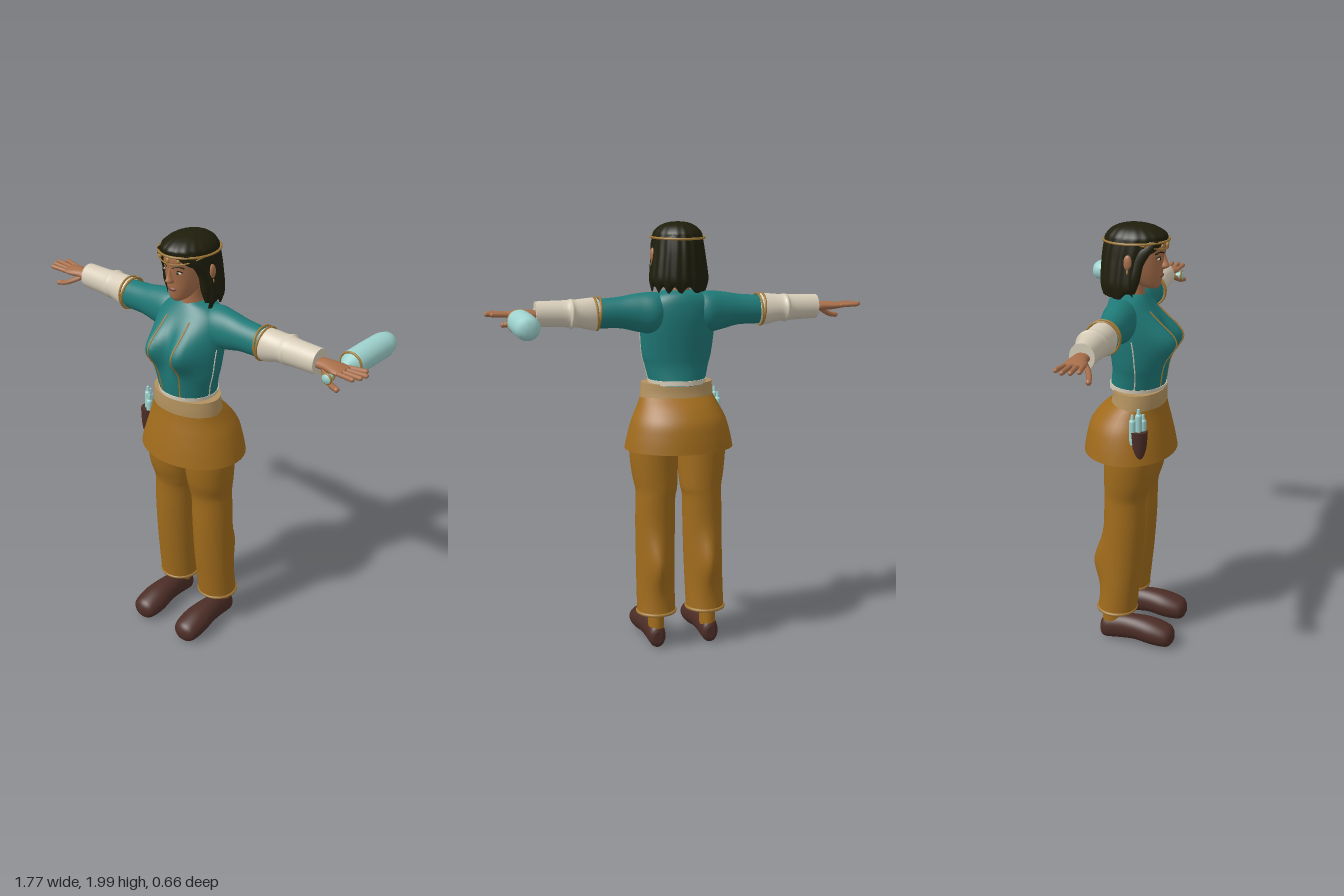
import * as THREE from 'three';

const mat = (name, color, side = THREE.FrontSide) => {
  const m = new THREE.MeshStandardMaterial({ color, side });
  m.name = name;
  return m;
};
const V = (x, y, z) => new THREE.Vector3(x, y, z);

// Smooth skin through elliptical rows [y, x0, x1, z0, z1, openHalfAngle]
function loft(rows, { n = 40, sub = 5, caps = true, open = false, wave = 0 } = {}) {
  const cr = (a, b, c, d, t) => 0.5 * (2 * b + (c - a) * t + (2 * a - 5 * b + 4 * c - d) * t * t + (3 * b - a - 3 * c + d) * t ** 3);
  const fine = [];
  rows.forEach((r, i) => {
    if (i === rows.length - 1) return fine.push(r);
    const a = rows[Math.max(i - 1, 0)], c = rows[i + 1], d = rows[Math.min(i + 2, rows.length - 1)];
    for (let k = 0; k < sub; k++) fine.push(r.map((v, q) => cr(a[q], v, c[q], d[q], k / sub)));
  });
  const pos = [], idx = [], cols = open ? n + 1 : n;
  const point = (r, j) => {
    const o = open ? r[5] : 0, a = o + (j / n) * (Math.PI * 2 - 2 * o), w = 1 + wave * Math.cos(a * 18);
    return [(r[1] + r[2]) / 2 + (r[2] - r[1]) / 2 * Math.sin(a) * w, r[0], (r[3] + r[4]) / 2 + (r[4] - r[3]) / 2 * Math.cos(a) * w];
  };
  fine.forEach((r, i) => {
    for (let j = 0; j < cols; j++) pos.push(...point(r, j));
    if (i) for (let j = 0; j < n; j++) {
      const k = (j + 1) % cols, p = (i - 1) * cols, q = i * cols;
      idx.push(p + j, p + k, q + j, p + k, q + k, q + j);
    }
  });
  if (caps && !open) [fine[0], fine[fine.length - 1]].forEach((r, top) => {
    const c = pos.length / 3;
    pos.push((r[1] + r[2]) / 2, r[0], (r[3] + r[4]) / 2);
    for (let j = 0; j < n; j++) pos.push(...point(r, j));
    for (let j = 0; j < n; j++) {
      const a = c + 1 + j, b = c + 1 + (j + 1) % n;
      idx.push(c, ...(top ? [a, b] : [b, a]));
    }
  });
  const g = new THREE.BufferGeometry();
  g.setAttribute('position', new THREE.Float32BufferAttribute(pos, 3));
  g.setIndex(idx);
  g.computeVertexNormals();
  g.userData = { cols, count: fine.length };
  return g;
}
// Loft along x from rows [x, yLow, yHigh, z0, z1]
const loftX = (rows, o) => loft(rows.map(([x, a, b, c, d]) => [x, -b, -a, c, d]), o).rotateZ(-Math.PI / 2);
// Loft along z from rows [z, x0, x1, yLow, yHigh]
const loftZ = (rows, o) => loft(rows.map(([z, a, b, c, d]) => [z, a, b, -d, -c]), o).rotateX(Math.PI / 2);

function deform(g, fn) {
  const p = g.attributes.position, v = V(0, 0, 0);
  for (let i = 0; i < p.count; i++) { fn(v.fromBufferAttribute(p, i)); p.setXYZ(i, v.x, v.y, v.z); }
  g.computeVertexNormals();
  return g;
}
const tube = (pts, r, closed = false, seg = 40) => new THREE.TubeGeometry(new THREE.CatmullRomCurve3(pts, closed), seg, r, 6, closed);
const ball = (x, y, z, sx, sy, sz) => new THREE.SphereGeometry(1, 20, 14).scale(sx, sy, sz).translate(x, y, z);
// Path down one column of a loft
function seam(g, j, y0, y1) {
  const { cols, count } = g.userData, out = [];
  for (let i = 0; i < count; i++) {
    const v = V(0, 0, 0).fromBufferAttribute(g.attributes.position, i * cols + (j + cols) % cols);
    if (v.y >= y0 && v.y <= y1) out.push(v);
  }
  return out;
}
function mirrored(g) {
  const m = g.clone().scale(-1, 1, 1), a = m.index.array;
  for (let i = 0; i < a.length; i += 3) [a[i], a[i + 1]] = [a[i + 1], a[i]];
  return m;
}

export function createModel() {
  const root = new THREE.Group(), D = THREE.DoubleSide;
  const teal = mat('teal cloth', 0x1f7a78), ochre = mat('ochre cloth', 0xa06b1c, D), skin = mat('skin', 0xa86f4b),
    hair = mat('dark hair', 0x1f1e0c, D), cream = mat('cream linen', 0xd6ccb8, D), beige = mat('beige sash', 0xb3925f),
    brown = mat('brown leather', 0x4c2d26), glass = mat('pale blue glass', 0x9ed2ce), gold = mat('gold trim', 0xa27a38),
    lip = mat('lip red', 0x80453a);
  const add = (name, g, m) => {
    const mesh = new THREE.Mesh(g, m);
    mesh.name = name;
    root.add(mesh);
  };
  const pair = (name, g, m) => { add('left' + name, g, m); add('right' + name, mirrored(g), m); };

  // Tunic with a shaped bust, seams and shirt hem
  const torso = deform(loft([
    [1.26, -.13, .13, -.02, .225], [1.34, -.148, .148, -.01, .235], [1.4, -.163, .163, -.014, .235], [1.5, -.172, .172, -.028, .22],
    [1.58, -.172, .172, -.035, .2], [1.64, -.16, .16, -.03, .165], [1.677, -.115, .115, -.015, .14], [1.695, -.06, .06, .01, .125]
  ], { n: 48 }), v => {
    if (v.z > .1) v.z += .085 * Math.exp(-(((Math.abs(v.x) - .078) / .06) ** 2) - ((v.y - 1.5) / .08) ** 2);
  });
  add('tunic', torso, teal);
  for (const s of [1, -1]) {
    add('frontTrim', tube(seam(torso, 3 * s, 1.28, 1.63), .004), gold);
    add('sideSeam', tube(seam(torso, 11 * s, 1.28, 1.53), .003), cream);
  }
  add('shirtHem', loft([[1.262, -.136, .136, -.024, .231], [1.284, -.138, .138, -.022, .232]]), cream);

  // Sash and flared skirt
  add('sash', loft([[1.198, -.175, .175, -.012, .234], [1.23, -.172, .172, -.006, .234], [1.268, -.168, .168, -.004, .232]]), beige);
  add('skirt', loft([[.965, -.257, .257, -.137, .284], [1.03, -.243, .243, -.127, .272], [1.1, -.222, .222, -.108, .256],
    [1.16, -.193, .193, -.063, .241], [1.205, -.172, .172, -.012, .231]], { caps: false }), ochre);

  // Trousers with calf bulge, hems, ankles and shoes
  pair('TrouserLeg', deform(loft([
    [.17, .03, .212, -.05, .135], [.3, .028, .211, -.03, .148], [.43, .025, .21, -.02, .16], [.6, .022, .21, -.02, .17],
    [.72, .02, .207, -.02, .172], [.77, .01, .208, -.02, .178], [.85, .004, .222, -.02, .2], [.98, 0, .23, -.02, .212], [1.08, 0, .2, -.02, .2]
  ]), v => { if (v.z < .06) v.z -= .05 * Math.exp(-(((v.x - .125) / .05) ** 2) - ((v.y - .42) / .11) ** 2); }), ochre);
  pair('TrouserHem', new THREE.TorusGeometry(.09, .008, 8, 40).rotateX(Math.PI / 2).translate(.121, .176, .042), gold);
  pair('Ankle', loft([[.08, .09, .165, -.03, .07], [.19, .09, .165, -.025, .07]]), ochre);
  pair('Shoe', loftZ([[-.035, .11, .15, .03, .09], [-.015, .09, .17, .008, .118], [.06, .084, .178, .014, .138], [.14, .074, .19, .02, .143],
    [.22, .063, .2, .008, .135], [.29, .07, .195, .006, .113], [.315, .09, .175, .02, .095], [.326, .12, .145, .045, .07]]), brown);

  // Arms: tunic sleeve, armlets and linen cuff
  pair('Sleeve', loftX([[.05, 1.54, 1.67, .01, .11], [.12, 1.5, 1.688, -.025, .135], [.2, 1.51, 1.683, -.012, .13],
    [.28, 1.528, 1.67, -.002, .124], [.385, 1.53, 1.662, 0, .12]]), teal);
  [[.38, .1], [.392, -.07]].forEach(([x, tilt]) =>
    pair('Armlet', new THREE.TorusGeometry(.073, .005, 8, 40).rotateY(Math.PI / 2).rotateZ(tilt).translate(x, 1.597, .056), gold));
  pair('ForearmSleeve', loftX([[.375, 1.535, 1.66, 0, .115], [.4, 1.522, 1.67, -.005, .12], [.48, 1.54, 1.664, -.012, .112],
    [.505, 1.535, 1.667, -.025, .113], [.53, 1.542, 1.662, -.005, .108], [.662, 1.547, 1.66, 0, .106]]), cream);

  // Hands
  pair('Palm', loftX([[.64, 1.575, 1.62, .02, .085], [.7, 1.582, 1.625, .018, .09], [.75, 1.586, 1.622, .01, .103], [.79, 1.592, 1.616, .012, .104]], { n: 24 }), skin);
  [[.86, .01], [.882, .042], [.876, .075], [.858, .105]].forEach(([tip, z], i) => {
    const a = V(.775, 1.605, .022 + i * .024), b = V(tip, 1.61, z), dir = b.clone().sub(a);
    const g = new THREE.CapsuleGeometry(.01, dir.length() - .01, 4, 10);
    g.applyQuaternion(new THREE.Quaternion().setFromUnitVectors(V(0, 1, 0), dir.normalize()));
    pair('Finger', g.translate((a.x + b.x) / 2, (a.y + b.y) / 2, (a.z + b.z) / 2), skin);
  });
  pair('Thumb', tube([V(.69, 1.595, .07), V(.73, 1.572, .1), V(.765, 1.557, .115), V(.795, 1.552, .122)], .012, false, 12), skin);
  pair('ThumbTip', ball(.795, 1.552, .122, .012, .012, .012), skin);

  // Bottle held in the left hand
  const flask = [[0, -.128], [.02, -.128], [.02, -.115], [.012, -.1], [.012, -.02], [.02, 0], [.047, .042], [.055, .06],
    [.056, .16], [.055, .27], [.045, .312], [.03, .33], [0, .33]].map(p => new THREE.Vector2(...p));
  add('bottle', new THREE.LatheGeometry(flask, 32).rotateX(-Math.PI / 2).translate(.745, 1.583, 0), glass);
  [[.051, -.045, .005], [.021, .122, .005], [.015, .09, .004]].forEach(([r, z, t]) =>
    add('bottleRing', new THREE.TorusGeometry(r, t, 8, 32).translate(.745, 1.583, z), gold));

  // Pouch with vials on the right hip
  add('pouch', loft([[.985, -.222, -.185, .135, .18], [1.04, -.228, -.165, .125, .195], [1.12, -.232, -.152, .115, .2]], { n: 24 }), brown);
  [[-.2, .16, 1.19], [-.21, .135, 1.165], [-.178, .175, 1.16]].forEach(([x, z, y]) => {
    add('vial', new THREE.CapsuleGeometry(.015, .1, 5, 14).translate(x, y - .05, z), glass);
    add('vialStopper', new THREE.CylinderGeometry(.006, .01, .03, 10).translate(x, y + .02, z), glass);
  });

  // Neck and head
  add('neck', loft([[1.65, -.075, .075, .01, .135], [1.7, -.05, .05, .02, .13], [1.8, -.048, .048, .02, .13]]), skin);
  add('head', loft([[1.72, -.02, .02, .14, .188], [1.735, -.042, .042, .1, .2], [1.775, -.064, .064, .04, .208], [1.82, -.079, .079, 0, .212],
    [1.87, -.086, .086, -.02, .218], [1.92, -.086, .086, -.03, .222], [1.96, -.07, .07, -.01, .2], [1.985, -.03, .03, .04, .14]]), skin);
  add('nose', loft([[1.808, -.012, .012, .195, .222], [1.82, -.017, .017, .19, .24], [1.845, -.009, .009, .19, .23], [1.885, -.006, .006, .19, .217]], { n: 16 }), skin);
  add('lips', ball(0, 1.778, .203, .023, .009, .011), lip);
  pair('EyeWhite', ball(.034, 1.857, .2, .015, .007, .0075), cream);
  pair('Iris', ball(.034, 1.857, .205, .0065, .0065, .0045), hair);
  pair('Lash', tube([V(.016, 1.859, .209), V(.034, 1.867, .206), V(.053, 1.861, .194)], .0025, false, 10), hair);
  pair('Brow', tube([V(.013, 1.879, .217), V(.036, 1.887, .208), V(.06, 1.88, .191)], .0035, false, 10), hair);
  pair('Ear', ball(.118, 1.85, .085, .012, .034, .019), skin);

  // Bobbed hair: crown, open curtain and framing locks
  add('hairCrown', loft([[1.93, -.113, .113, -.048, .222], [1.955, -.106, .106, -.038, .225], [1.98, -.08, .08, -.01, .19],
    [1.995, -.045, .045, .03, .14], [2, -.006, .006, .075, .09]], { wave: .012, n: 90 }), hair);
  add('hairCurtain', deform(loft([[1.7, -.12, .12, -.052, .2, 1.3], [1.74, -.133, .133, -.063, .2, 1.25], [1.8, -.128, .128, -.062, .205, 1.2],
    [1.86, -.12, .12, -.058, .212, 1.05], [1.9, -.116, .116, -.053, .225, .65], [1.945, -.11, .11, -.045, .23, .1]],
  { open: true, n: 90, wave: .02 }), v => {
    if (v.y < 1.74) v.y += .014 * Math.sin(v.x * 90 + v.z * 70) * (1.74 - v.y) / .04;
  }), hair);
  pair('FramingLock', loft([[1.715, .095, .12, .08, .115], [1.77, .084, .128, .07, .135], [1.84, .086, .118, .09, .15],
    [1.9, .076, .108, .11, .185], [1.94, .05, .09, .13, .21]], { n: 20 }), hair);

  // Circlet with a hanging chain and jewels
  const band = [];
  for (let i = 0; i < 24; i++) {
    const a = i / 24 * Math.PI * 2;
    band.push(V(.121 * Math.sin(a), 1.93 + .004 * Math.cos(a), .091 + .144 * Math.cos(a)));
  }
  add('circlet', tube(band, .0055, true, 96), gold);
  add('browChain', tube([V(-.112, 1.925, .135), V(-.075, 1.908, .203), V(0, 1.898, .23), V(.075, 1.908, .203), V(.112, 1.925, .135)], .003), gold);
  add('browJewel', ball(0, 1.912, .229, .01, .013, .007), gold);
  pair('CircletJewel', ball(.05, 1.916, .219, .007, .009, .006), gold);
  pair('Earring', ball(.124, 1.81, .085, .005, .012, .005), gold);
  return root;
}
